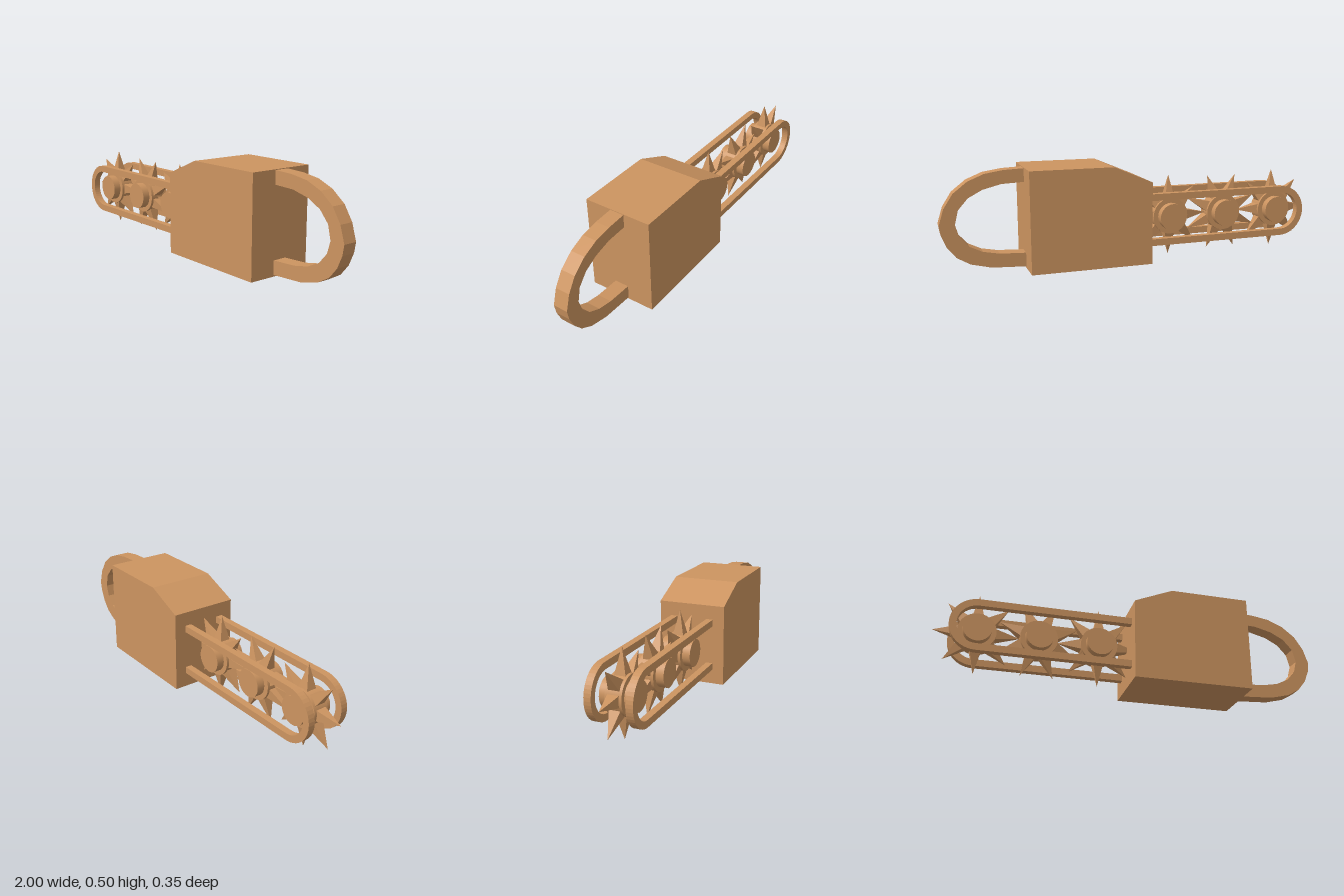
import * as THREE from 'three';
import { toCreasedNormals } from 'three/addons/utils/BufferGeometryUtils.js';

const AXLE_Y = 0.218;

// Flat profile in the xy plane, extruded from z0 to z1
function plate(shape, z0, z1, material, name) {
  const geometry = new THREE.ExtrudeGeometry(shape, { depth: z1 - z0, bevelEnabled: false, curveSegments: 12 });
  geometry.translate(0, 0, z0);
  const mesh = new THREE.Mesh(geometry, material);
  mesh.name = name;
  return mesh;
}

function polygon(points) {
  return new THREE.Shape(points.map(([x, y]) => new THREE.Vector2(x, y)));
}

// U-shaped rail, open toward the body
function railShape() {
  const cx = -0.79, end = 0.02, outer = 0.135, inner = 0.1;
  const s = new THREE.Shape();
  s.moveTo(end, AXLE_Y + outer);
  s.lineTo(cx, AXLE_Y + outer);
  s.absarc(cx, AXLE_Y, outer, Math.PI / 2, Math.PI * 1.5, false);
  s.lineTo(end, AXLE_Y - outer);
  s.lineTo(end, AXLE_Y - inner);
  s.lineTo(cx, AXLE_Y - inner);
  s.absarc(cx, AXLE_Y, inner, Math.PI * 1.5, Math.PI / 2, true);
  s.lineTo(end, AXLE_Y + inner);
  s.closePath();
  return s;
}

// Hub, disc and eight pyramid spikes
function spikedWheel(material, turn) {
  const wheel = new THREE.Group();
  wheel.name = 'spikedWheel';
  for (const [name, radius, width] of [['hub', 0.07, 0.16], ['disc', 0.095, 0.08]]) {
    const mesh = new THREE.Mesh(new THREE.CylinderGeometry(radius, radius, width, 32), material);
    mesh.rotation.x = Math.PI / 2;
    mesh.name = name;
    wheel.add(mesh);
  }
  const base = 0.08, tip = 0.213;
  const cone = new THREE.ConeGeometry(0.042, tip - base, 4);
  cone.rotateY(Math.PI / 4);
  cone.translate(0, (base + tip) / 2, 0);
  const spikeGeometry = toCreasedNormals(cone, 0.3);
  for (let i = 0; i < 8; i++) {
    const spike = new THREE.Mesh(spikeGeometry, material);
    spike.rotation.z = turn + i * Math.PI / 4;
    spike.name = 'spike';
    wheel.add(spike);
  }
  return wheel;
}

export function createModel() {
  const model = new THREE.Group();
  model.name = 'spikedSaw';
  const tan = new THREE.MeshStandardMaterial({ color: 0xcc9460 });
  tan.name = 'tan';

  // Motor body with a sloped front top edge
  model.add(plate(polygon([
    [-0.025, 0.007], [0.59, 0.007], [0.59, 0.51], [0.175, 0.51], [-0.025, 0.425],
  ]), -0.175, 0.175, tan, 'body'));

  // Loop handle: outer edge, then inner edge back again
  model.add(plate(polygon([
    [0.58, 0.507], [0.69, 0.502], [0.78, 0.488], [0.86, 0.455], [0.93, 0.4], [0.975, 0.33], [1, 0.25],
    [0.992, 0.2], [0.967, 0.14], [0.925, 0.088], [0.86, 0.05], [0.76, 0.025], [0.58, 0.015],
    [0.58, 0.085], [0.72, 0.092], [0.8, 0.108], [0.865, 0.14], [0.908, 0.19], [0.925, 0.25],
    [0.908, 0.32], [0.86, 0.375], [0.79, 0.412], [0.7, 0.435], [0.58, 0.44],
  ]), -0.037, 0.037, tan, 'handle'));

  // Guide rails on both sides
  const rail = railShape();
  model.add(plate(rail, 0.08, 0.115, tan, 'frontRail'));
  model.add(plate(rail, -0.115, -0.08, tan, 'backRail'));

  // Row of spiked wheels, the middle one turned half a step
  [-0.788, -0.483, -0.177].forEach((x, i) => {
    const wheel = spikedWheel(tan, i === 1 ? Math.PI / 8 : 0);
    wheel.position.set(x, AXLE_Y, 0);
    model.add(wheel);
  });

  return model;
}
